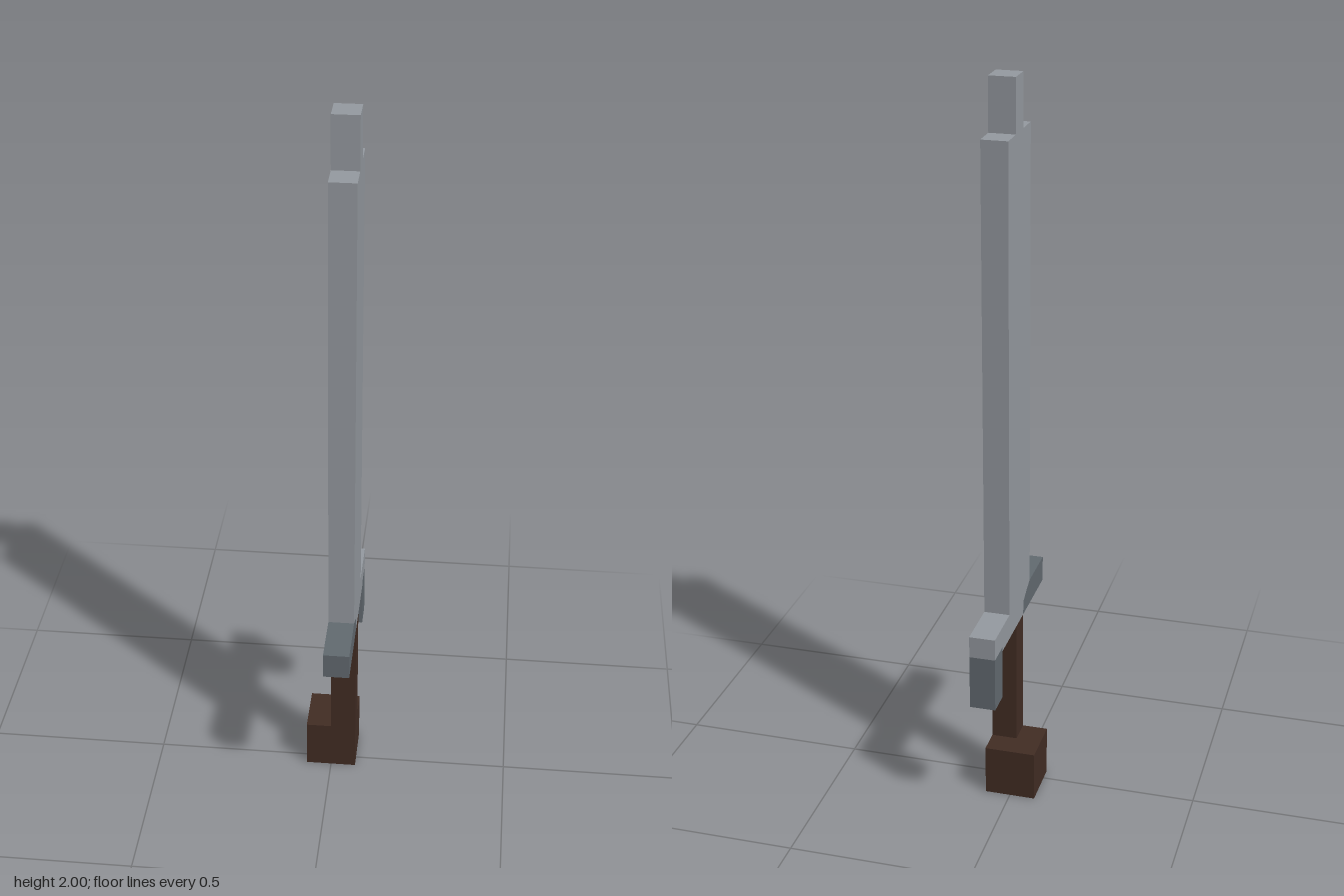
import * as THREE from 'three';

const THICK = 0.07;

function flat(name, color) {
  const m = new THREE.MeshStandardMaterial({ color });
  m.name = name;
  return m;
}

// Extrudes a side profile given as [z, y] points, from x = 0 to x = THICK
function slab(name, points, material) {
  const shape = new THREE.Shape(points.map(([z, y]) => new THREE.Vector2(z, y)));
  const geo = new THREE.ExtrudeGeometry(shape, { depth: THICK, bevelEnabled: false });
  geo.rotateY(-Math.PI / 2).translate(THICK, 0, 0);
  const mesh = new THREE.Mesh(geo, material);
  mesh.name = name;
  return mesh;
}

// Box given by its extents on each axis
function block(name, [x0, x1], [y0, y1], [z0, z1], material) {
  const mesh = new THREE.Mesh(new THREE.BoxGeometry(x1 - x0, y1 - y0, z1 - z0), material);
  mesh.position.set((x0 + x1) / 2, (y0 + y1) / 2, (z0 + z1) / 2);
  mesh.name = name;
  return mesh;
}

export function createModel() {
  const steel = flat('light steel', 0x969ba1);
  const iron = flat('dark iron', 0x636b71);
  const wood = flat('dark brown wood', 0x422d24);
  const sword = new THREE.Group();
  sword.name = 'sword';

  // Blade with stepped tip and the light rear arm of the guard
  sword.add(slab('blade', [
    [0.035, 0.5], [0.04, 0.54], [0.075, 0.56], [0.105, 0.572],
    [0.105, 1.86], [0.035, 1.86], [0.035, 2], [-0.035, 2], [-0.035, 1.86], [-0.105, 1.86],
    [-0.105, 0.572], [-0.248, 0.572], [-0.248, 0.512], [-0.177, 0.512], [-0.177, 0.5],
  ], steel));

  // Dark front arm of the guard, tapering into the blade
  sword.add(slab('frontGuard', [
    [0.25, 0.5], [0.25, 0.572], [0.105, 0.572], [0.075, 0.56], [0.04, 0.54], [0.035, 0.5],
  ], iron));

  // Hook hanging from the rear arm
  sword.add(block('guardHook', [0, THICK], [0.36, 0.512], [-0.248, -0.177], iron));

  // Grip and offset pommel
  sword.add(block('grip', [0, THICK], [0.142, 0.5], [-0.035, 0.035], wood));
  sword.add(block('pommel', [-0.07, THICK], [0, 0.142], [-0.106, 0.035], wood));

  return sword;
}
